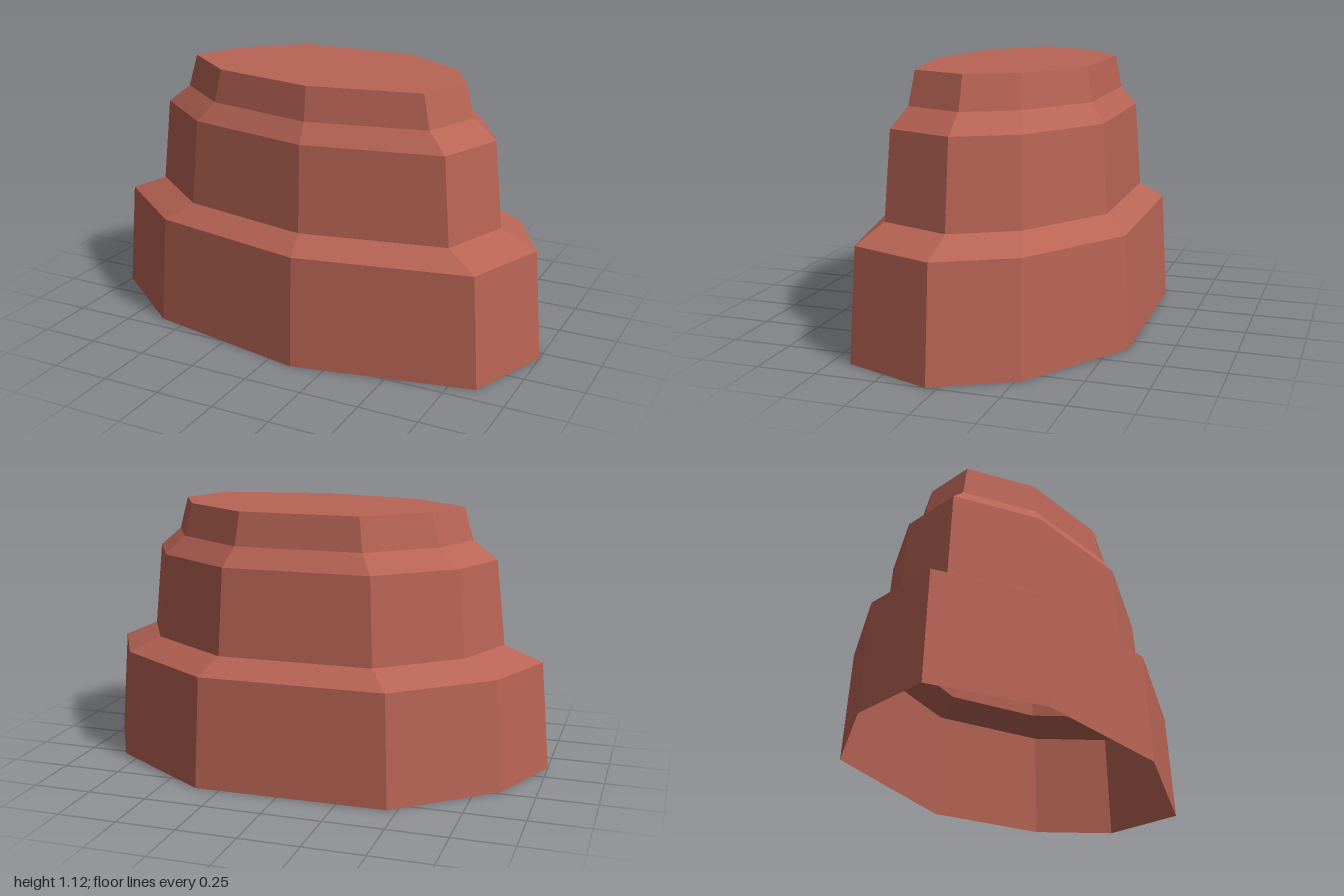
import * as THREE from 'three';

// Irregular nine-sided footprint (x, z), clockwise from above
const outline = [
  [-0.46, -0.565], [0.355, -0.575], [0.825, -0.275], [1.0, 0.045], [0.86, 0.42],
  [0.11, 0.575], [-0.61, 0.43], [-1.0, 0.12], [-0.855, -0.23],
];
const pivotX = 0.02; // the tiers shrink towards this x

// The footprint scaled and lifted to one level
function ring([y, s]) {
  return outline.map(([x, z]) => [pivotX + (x - pivotX) * s, y, z * s]);
}

// Wall through a stack of [height, scale] levels, optionally closed on top
function tier(name, levels, material, closed = false) {
  const rings = levels.map(ring);
  const n = outline.length;
  const pos = [];
  const tri = (...corners) => corners.forEach((p) => pos.push(...p));
  for (let k = 0; k < rings.length - 1; k++) {
    for (let i = 0; i < n; i++) {
      const j = (i + 1) % n;
      const a = rings[k][i], b = rings[k][j], c = rings[k + 1][j], d = rings[k + 1][i];
      tri(b, a, d);
      tri(b, d, c);
    }
  }
  if (closed) {
    const top = rings[rings.length - 1];
    for (let i = 1; i < n - 1; i++) tri(top[0], top[i + 1], top[i]);
  }
  const geometry = new THREE.BufferGeometry();
  geometry.setAttribute('position', new THREE.Float32BufferAttribute(pos, 3));
  geometry.computeVertexNormals();
  const mesh = new THREE.Mesh(geometry, material);
  mesh.name = name;
  return mesh;
}

export function createModel() {
  const clay = new THREE.MeshStandardMaterial({
    name: 'terracotta', color: 0xb86455, flatShading: true, side: THREE.DoubleSide,
  });
  const model = new THREE.Group();
  model.name = 'steppedMound';
  // Hollow shell, open underneath
  model.add(
    tier('lowerTier', [[0, 1], [0.47, 0.96], [0.54, 0.8]], clay),
    tier('middleTier', [[0.54, 0.8], [0.905, 0.76], [0.985, 0.66]], clay),
    tier('topTier', [[0.985, 0.66], [1.125, 0.62]], clay, true),
  );
  return model;
}
